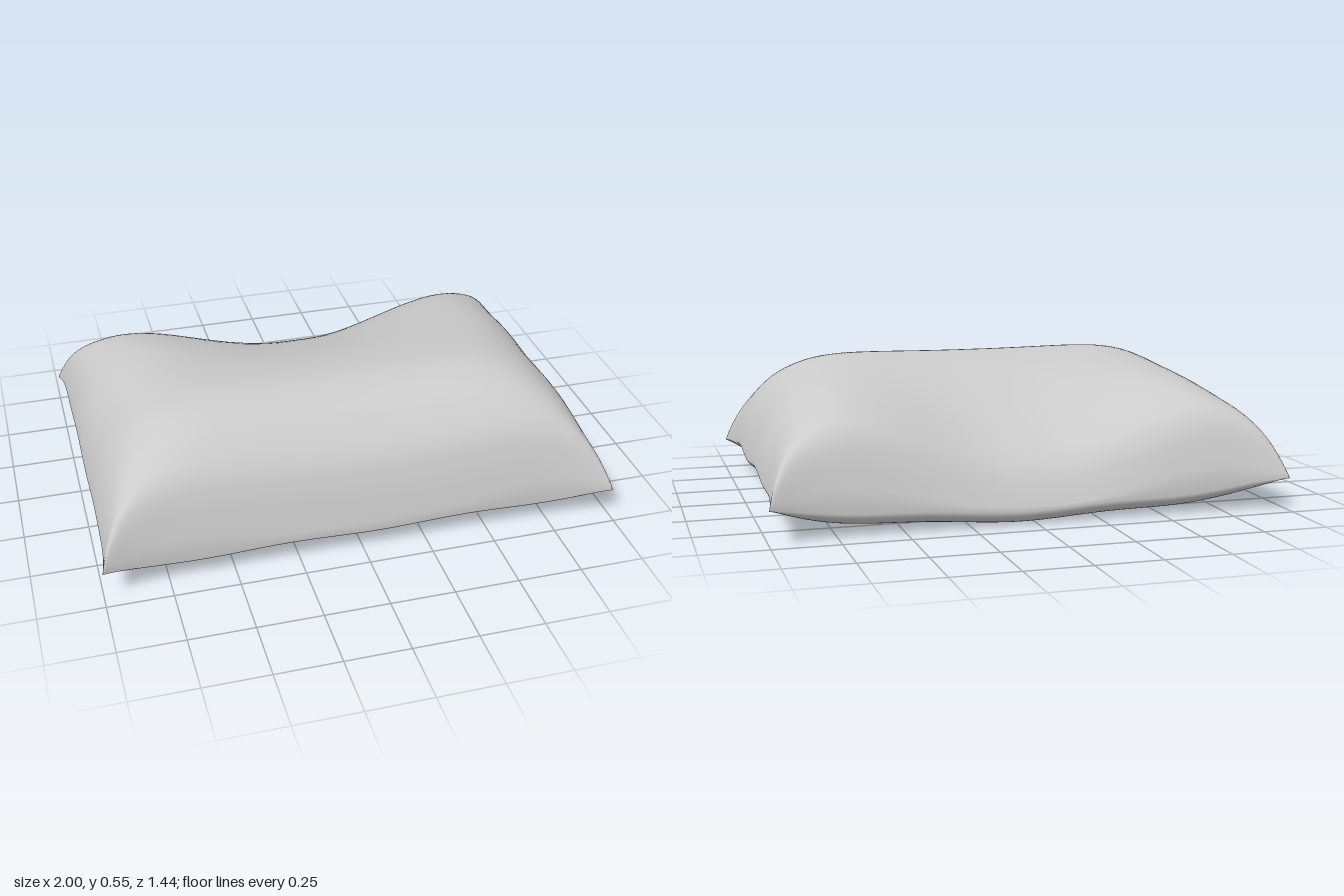
import * as THREE from 'three';
import { mergeGeometries, mergeVertices } from 'three/addons/utils/BufferGeometryUtils.js';

// Section heights from back seam to front seam, at shared depth stations
const STATIONS = [-0.67, -0.6, -0.5, -0.3, 0, 0.25, 0.4, 0.5, 0.6, 0.67];
const section = (heights) => new THREE.SplineCurve(
  STATIONS.map((z, i) => new THREE.Vector2(z, heights[i])));
const middleSection = section([0.06, 0.19, 0.28, 0.395, 0.505, 0.55, 0.52, 0.46, 0.335, 0.1]);
const endSection = section([0.13, 0.34, 0.44, 0.5, 0.54, 0.56, 0.54, 0.49, 0.37, 0.13]);
const CREST = 0.43;

const dome = (a, p, q) => Math.pow(Math.max(0, 1 - Math.pow(Math.abs(a), p)), q);
const smooth = THREE.MathUtils.smoothstep;

// Rounded minimum of two 0..1 fullness values, which keeps the corners plump
const softMin = (a, b) =>
  (Math.max(a, 1e-3) ** -3 + Math.max(b, 1e-3) ** -3 - 1) ** (-1 / 3);

// Height of the seam level: sagging at the middle of the back, lower along
// the front, lifted along both sides, and gently wavy
function seamHeight(u, v) {
  const sag = 0.07 * (1 - u * u) * smooth(-v, -0.75, 1);
  const frontDrop = 0.035 * smooth(v, 0.6, 1) * dome(u, 8, 1);
  const sideLift = 0.04 * u ** 8 * dome(v, 4, 1) * (1 + 0.3 * Math.sin(9 * v + 3.6));
  const waves = 0.006 * Math.sin(9 * u + 1) * Math.sin(3.4 * v + 2) * dome(u, 8, 1);
  return 0.13 - sag - frontDrop + sideLift + waves;
}

// One face of the pillow: a grid moved onto the top or the underside
function pillowFace(isTop) {
  const geometry = new THREE.PlaneGeometry(2, 2, 72, 60);
  geometry.rotateX(isTop ? -Math.PI / 2 : Math.PI / 2);
  const pos = geometry.attributes.position;
  for (let i = 0; i < pos.count; i++) {
    const u = Math.sin(pos.getX(i) * Math.PI / 2);
    const t = THREE.MathUtils.clamp((pos.getZ(i) + 1) / 2, 0, 1);
    const middle = middleSection.getPoint(t);
    const end = endSection.getPoint(t);
    const z = middle.x;
    const v = THREE.MathUtils.clamp(z / 0.67, -1, 1);
    const base = seamHeight(u, v);
    const onSeam = t < 1e-6 || t > 1 - 1e-6 || Math.abs(u) > 1 - 1e-6;
    let y = base;
    if (isTop && !onSeam) {
      const full = THREE.MathUtils.lerp(middle.y, end.y, smooth(Math.abs(u), 0.05, 0.8));
      y = base + CREST * softMin((full - base) / CREST, dome(u, 7, 0.8));
    } else if (!isTop) {
      const depth = THREE.MathUtils.lerp(0.035, 0.055, smooth(-v, -0.6, 0.8));
      y = base - depth * dome(u, 12, 0.7) * dome(v, 20, 0.7);
    }
    // Corners flare outwards into points
    pos.setXYZ(i, 0.98 * u * (1 + 0.02 * Math.abs(v) ** 10), y, z * (1 + 0.075 * Math.abs(u) ** 8));
  }
  geometry.deleteAttribute('normal');
  geometry.deleteAttribute('uv');
  return geometry;
}

export function createModel() {
  const group = new THREE.Group();
  group.name = 'pillow';

  // Both faces welded along the seam
  const geometry = mergeVertices(mergeGeometries([pillowFace(true), pillowFace(false)]), 1e-4);
  geometry.computeBoundingBox();
  const { min, max } = geometry.boundingBox;
  geometry.translate(-(min.x + max.x) / 2, -min.y, -(min.z + max.z) / 2);
  geometry.computeVertexNormals();

  const cushion = new THREE.Mesh(geometry, new THREE.MeshStandardMaterial({ color: 0xcccccc }));
  cushion.name = 'cushion';
  group.add(cushion);
  return group;
}
